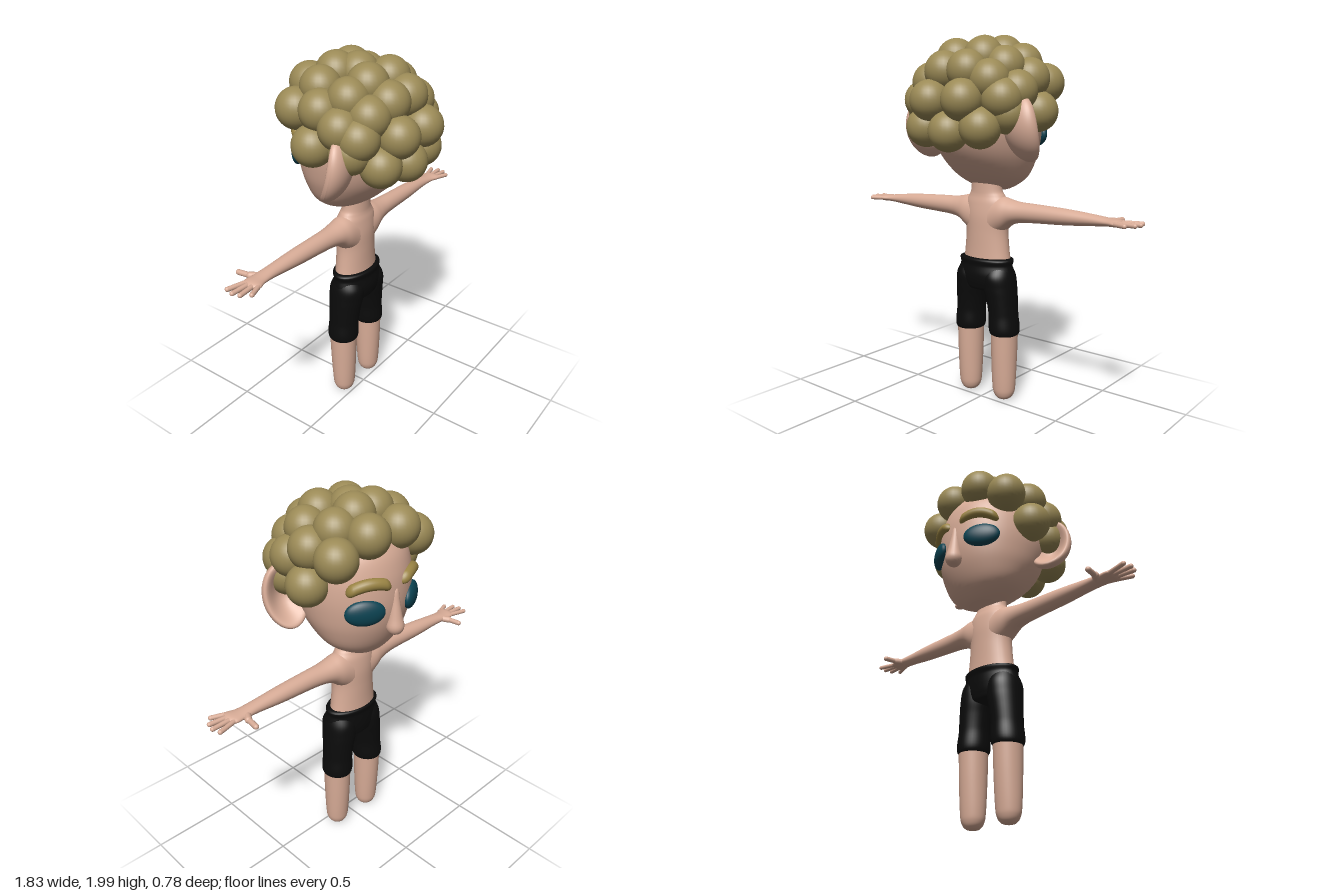
import * as THREE from 'three';

const mat = (color) => new THREE.MeshStandardMaterial({ color, roughness: 0.8 });

// Smooth loft along y through elliptical sections [y, centreX, centreZ, radiusX, radiusZ].
// alongX swaps x and y so it runs sideways; side = -1 mirrors it.
function loft(sections, { alongX = false, side = 1, steps = 48, sides = 36 } = {}) {
  const curve = (f) => new THREE.CatmullRomCurve3(sections.map(f), false, 'catmullrom', 0.5);
  const centre = curve((s) => new THREE.Vector3(s[1], s[0], s[2]));
  const radius = curve((s) => new THREE.Vector3(s[3], s[4], 0));
  const pos = [], index = [];
  const flip = alongX !== (side < 0);
  for (let i = 0; i <= steps; i++) {
    const c = centre.getPoint(i / steps), r = radius.getPoint(i / steps);
    for (let j = 0; j < sides; j++) {
      const a = (j / sides) * Math.PI * 2;
      const x = c.x + Math.max(r.x, 0) * Math.cos(a);
      const z = c.z + Math.max(r.y, 0) * Math.sin(a);
      if (alongX) pos.push(c.y * side, x, z);
      else pos.push(x * side, c.y, z);
      if (i === steps) continue;
      const k = (j + 1) % sides;
      const p = i * sides + j, q = i * sides + k, u = p + sides, v = q + sides;
      if (flip) index.push(p, q, u, q, v, u);
      else index.push(p, u, q, q, u, v);
    }
  }
  const g = new THREE.BufferGeometry();
  g.setAttribute('position', new THREE.Float32BufferAttribute(pos, 3));
  g.setIndex(index);
  g.computeVertexNormals();
  return g;
}

// Moves every vertex by a rule.
function bend(g, rule) {
  const p = g.attributes.position, v = new THREE.Vector3();
  for (let i = 0; i < p.count; i++) {
    rule(v.fromBufferAttribute(p, i));
    p.setXYZ(i, v.x, v.y, v.z);
  }
  g.computeVertexNormals();
  return g;
}

export function createModel() {
  const model = new THREE.Group();
  const skin = mat(0xd8ac97), hairColor = mat(0x9b8a56), browColor = mat(0x9a8444);
  const eyeColor = mat(0x0c4453), cloth = mat(0x0b0b0b);
  const add = (name, geometry, material, parent = model) => {
    const m = new THREE.Mesh(geometry, material);
    m.name = name;
    parent.add(m);
    return m;
  };
  // Rounded rod between two points
  const rod = (name, from, to, r, parent) => {
    const a = new THREE.Vector3(...from), b = new THREE.Vector3(...to);
    const d = b.clone().sub(a);
    const m = add(name, new THREE.CapsuleGeometry(r, d.length(), 6, 14), skin, parent);
    m.position.copy(a).add(b).multiplyScalar(0.5);
    m.quaternion.setFromUnitVectors(new THREE.Vector3(0, 1, 0), d.normalize());
  };

  // Head: egg with the chin pushed towards the face (-z)
  add('head', loft([
    [1.17, 0, -0.135, 0, 0], [1.185, 0, -0.13, 0.09, 0.075], [1.25, 0, -0.105, 0.2, 0.165],
    [1.35, 0, -0.075, 0.258, 0.245], [1.45, 0, -0.055, 0.285, 0.29], [1.55, 0, -0.045, 0.295, 0.305],
    [1.65, 0, -0.045, 0.285, 0.295], [1.75, 0, -0.05, 0.25, 0.255], [1.84, 0, -0.05, 0.16, 0.17],
    [1.88, 0, -0.05, 0, 0],
  ], { sides: 48 }), skin);

  // Hair: overlapping curls, mirrored across x
  const hair = new THREE.Group();
  hair.name = 'hair';
  model.add(hair);
  const curl = new THREE.SphereGeometry(0.105, 28, 20);
  [
    [0, 1.89, -0.03], [0.06, 1.893, -0.12], [0.1, 1.83, -0.255], [0.18, 1.845, -0.12],
    [0.26, 1.745, -0.21], [0.315, 1.6, -0.07], [0.275, 1.765, -0.05], [0.2, 1.82, 0.06],
    [0.09, 1.87, 0.09], [0.075, 1.8, 0.2], [0.285, 1.7, 0.07], [0.19, 1.75, 0.17],
    [0.26, 1.66, 0.16], [0.105, 1.655, 0.28], [0.18, 1.52, 0.23], [0, 1.5, 0.26],
    [0.27, 1.59, 0.12],
  ].forEach(([x, y, z]) => {
    for (const s of x ? [1, -1] : [1]) add('curl', curl, hairColor, hair).position.set(s * x, y, z);
  });

  // Nose: teardrop
  const nose = add('nose', new THREE.LatheGeometry(new THREE.SplineCurve([
    [0, 0], [0.03, 0.008], [0.046, 0.04], [0.037, 0.09], [0.024, 0.17], [0.016, 0.23], [0, 0.25],
  ].map((p) => new THREE.Vector2(...p))).getPoints(24), 24), skin);
  nose.position.set(0, 1.335, -0.347);
  nose.rotation.x = 0.04;

  // Torso and neck
  add('torso', loft([
    [0.78, 0, -0.055, 0.15, 0.09], [0.86, 0, -0.055, 0.138, 0.088], [0.95, 0, -0.055, 0.13, 0.088],
    [1.04, 0, -0.055, 0.135, 0.088], [1.11, 0, -0.055, 0.135, 0.08], [1.15, 0, -0.053, 0.112, 0.07],
    [1.18, 0, -0.05, 0.096, 0.065], [1.25, 0, -0.05, 0.09, 0.065],
  ]), skin);

  // Shorts: hips
  add('shortsHips', loft([
    [0.808, 0, -0.05, 0, 0], [0.81, 0, -0.05, 0.155, 0.097], [0.77, 0, -0.048, 0.164, 0.1],
    [0.72, 0, -0.045, 0.174, 0.105], [0.67, 0, -0.047, 0.17, 0.099], [0.635, 0, -0.05, 0.12, 0.08],
    [0.615, 0, -0.055, 0, 0],
  ].reverse()), cloth);

  for (const side of [1, -1]) {
    const label = side > 0 ? 'left' : 'right';

    // Ear: tilted ellipsoid hollowed on the face side
    const ear = add(label + 'Ear', bend(new THREE.SphereGeometry(1, 40, 32), (v) => {
      const r2 = v.x * v.x + v.y * v.y;
      if (v.z < 0) v.z *= 1 - 1.5 * (1 - r2);
      v.set(v.x * 0.115, v.y * 0.168, v.z * 0.07 - v.y * v.y * 0.03);
    }), skin);
    ear.position.set(side * 0.325, 1.505, 0.085);
    ear.rotation.set(0.25, -side * 0.3, 0);

    // Eye
    const eye = add(label + 'Eye', new THREE.SphereGeometry(1, 32, 20), eyeColor);
    eye.scale.set(0.1, 0.066, 0.035);
    eye.position.set(side * 0.16, 1.48, -0.297);
    eye.rotation.y = -side * 0.55;

    // Eyebrow: arched capsule
    const brow = add(label + 'Eyebrow', bend(
      new THREE.CapsuleGeometry(0.03, 0.16, 8, 20, 12).rotateZ(Math.PI / 2),
      (v) => { v.y -= v.x * v.x * 2.6; v.z += v.x * v.x * 1.6; }), browColor);
    brow.position.set(side * 0.145, 1.622, -0.307);
    brow.rotation.set(0, -side * 0.5, -side * 0.08);

    // Arm, flaring into the shoulder: [x, y, z, radiusY, radiusZ]
    add(label + 'Arm', loft([
      [0.06, 1.035, -0.055, 0.115, 0.08], [0.12, 1.055, -0.055, 0.092, 0.077],
      [0.17, 1.068, -0.055, 0.068, 0.067], [0.23, 1.073, -0.055, 0.055, 0.057],
      [0.32, 1.075, -0.055, 0.05, 0.05], [0.5, 1.075, -0.058, 0.042, 0.045],
      [0.65, 1.075, -0.06, 0.03, 0.038], [0.74, 1.074, -0.06, 0.021, 0.042],
      [0.8, 1.074, -0.052, 0.017, 0.05], [0.825, 1.074, -0.05, 0, 0],
    ], { alongX: true, side }), skin);

    // Hand: four spread fingers and a thumb
    const hand = new THREE.Group();
    hand.name = label + 'Hand';
    model.add(hand);
    [[-0.085, 0.892, -0.113], [-0.065, 0.904, -0.07], [-0.04, 0.894, -0.03], [-0.018, 0.86, 0.01]]
      .forEach(([z0, x, z]) => rod('finger', [side * 0.785, 1.074, z0], [side * x, 1.074, z], 0.012, hand));
    rod('thumb', [side * 0.735, 1.072, -0.08], [side * 0.748, 1.07, -0.187], 0.014, hand);
    rod('thumbBase', [side * 0.71, 1.073, -0.065], [side * 0.74, 1.071, -0.12], 0.018, hand);

    // Shorts leg
    add(label + 'ShortsLeg', loft([
      [0.392, 0.121, -0.057, 0, 0], [0.39, 0.121, -0.057, 0.078, 0.082], [0.5, 0.114, -0.055, 0.08, 0.086],
      [0.58, 0.106, -0.053, 0.084, 0.092], [0.65, 0.095, -0.05, 0.09, 0.099],
      [0.72, 0.09, -0.046, 0.086, 0.098], [0.79, 0.08, -0.05, 0.07, 0.06],
    ], { side }), cloth);

    // Leg with rounded end
    add(label + 'Leg', loft([
      [0.005, 0.12, -0.055, 0, 0], [0.015, 0.12, -0.055, 0.036, 0.036], [0.045, 0.12, -0.055, 0.058, 0.056],
      [0.1, 0.12, -0.055, 0.066, 0.064], [0.25, 0.12, -0.056, 0.071, 0.073], [0.42, 0.12, -0.057, 0.074, 0.079],
    ], { side }), skin);
  }
  return model;
}
